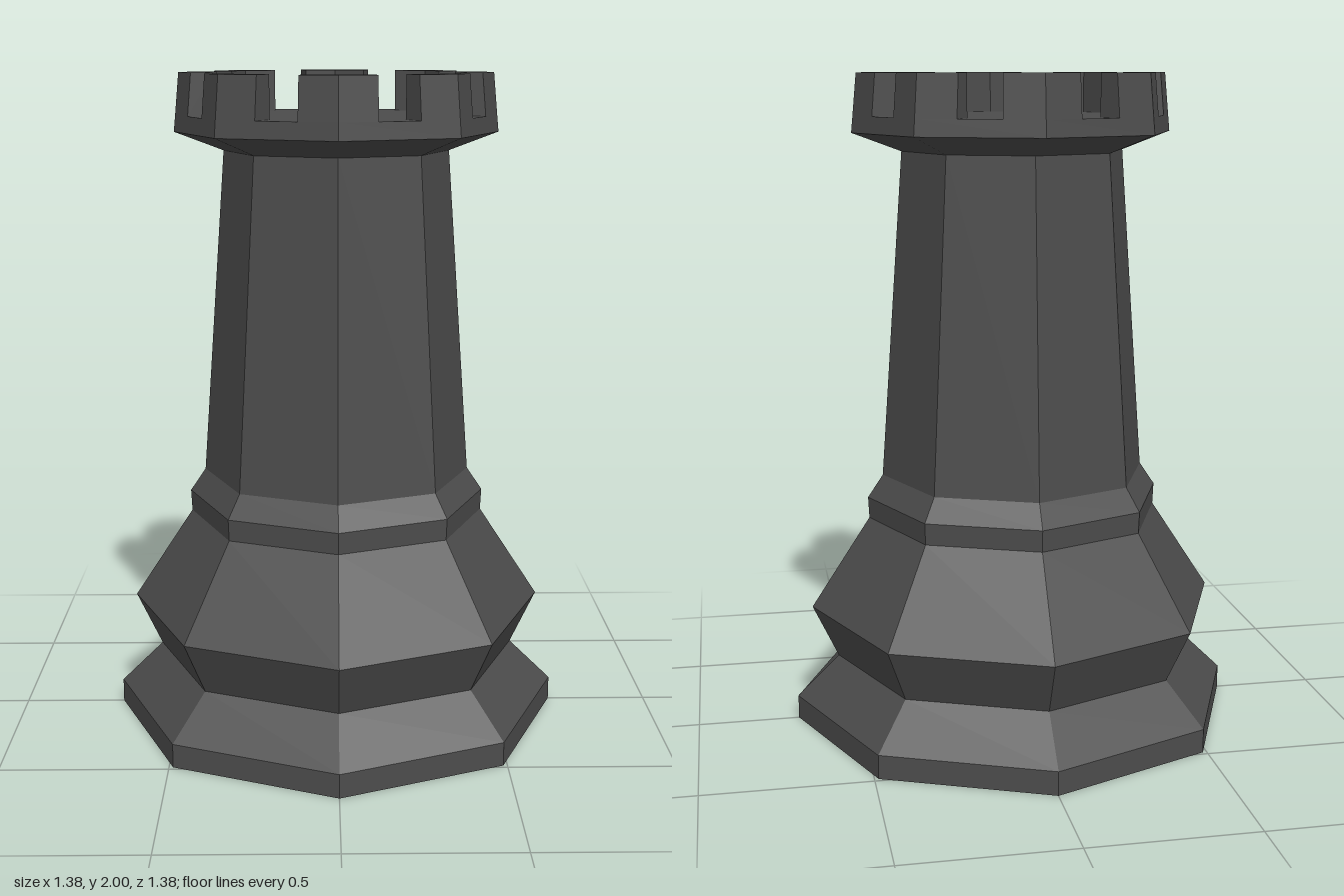
import * as THREE from 'three';

const SIDES = 8;
const FLOOR = 1.875;
const TOP = 2;
const HALF_ANGLE = THREE.MathUtils.degToRad(14.3);
const HALF_SIDE = Math.PI / SIDES;

// Distance from the axis to an octagon's edge, at an angle from its corner
function octagonRadius(corner, angle) {
  return corner * Math.cos(HALF_SIDE) / Math.cos(HALF_SIDE - Math.abs(angle));
}

// Box bent around an octagon corner: x becomes angle, z becomes radius
function battlementGeometry() {
  const geometry = new THREE.BoxGeometry(2, 1, 1, 2, 1, 1);
  const p = geometry.attributes.position;
  for (let i = 0; i < p.count; i++) {
    const angle = p.getX(i) * HALF_ANGLE;
    const upper = p.getY(i) > 0;
    const corner = p.getZ(i) < 0 ? 0.4 : upper ? 0.47 : 0.482;
    const r = octagonRadius(corner, angle);
    p.setXYZ(i, r * Math.sin(angle), upper ? TOP : FLOOR, r * Math.cos(angle));
  }
  geometry.computeVertexNormals();
  return geometry;
}

export function createModel() {
  const group = new THREE.Group();
  group.name = 'rook';
  const charcoal = new THREE.MeshStandardMaterial({ color: 0x4c4c4c, flatShading: true });
  charcoal.name = 'charcoal';

  // Each section is a stack of octagonal rings, as [radius, height]
  const sections = {
    foot: [[0, 0], [0.69, 0], [0.69, 0.073], [0.56, 0.2]],
    flaredBase: [[0.56, 0.2], [0.638, 0.365], [0.455, 0.645]],
    neckRing: [[0.455, 0.645], [0.458, 0.71], [0.411, 0.78]],
    shaft: [[0.411, 0.78], [0.339, 1.77]],
    crown: [[0.339, 1.77], [0.487, 1.825], [0.482, FLOOR], [0, FLOOR]],
  };
  for (const [name, rings] of Object.entries(sections)) {
    const profile = rings.map(([r, y]) => new THREE.Vector2(r, y));
    const mesh = new THREE.Mesh(new THREE.LatheGeometry(profile, SIDES), charcoal);
    mesh.name = name;
    group.add(mesh);
  }

  // One battlement on every corner of the crown
  const battlements = new THREE.Group();
  battlements.name = 'battlements';
  const geometry = battlementGeometry();
  for (let i = 0; i < SIDES; i++) {
    const mesh = new THREE.Mesh(geometry, charcoal);
    mesh.name = 'battlement';
    mesh.rotation.y = (i / SIDES) * Math.PI * 2;
    battlements.add(mesh);
  }
  group.add(battlements);
  return group;
}
